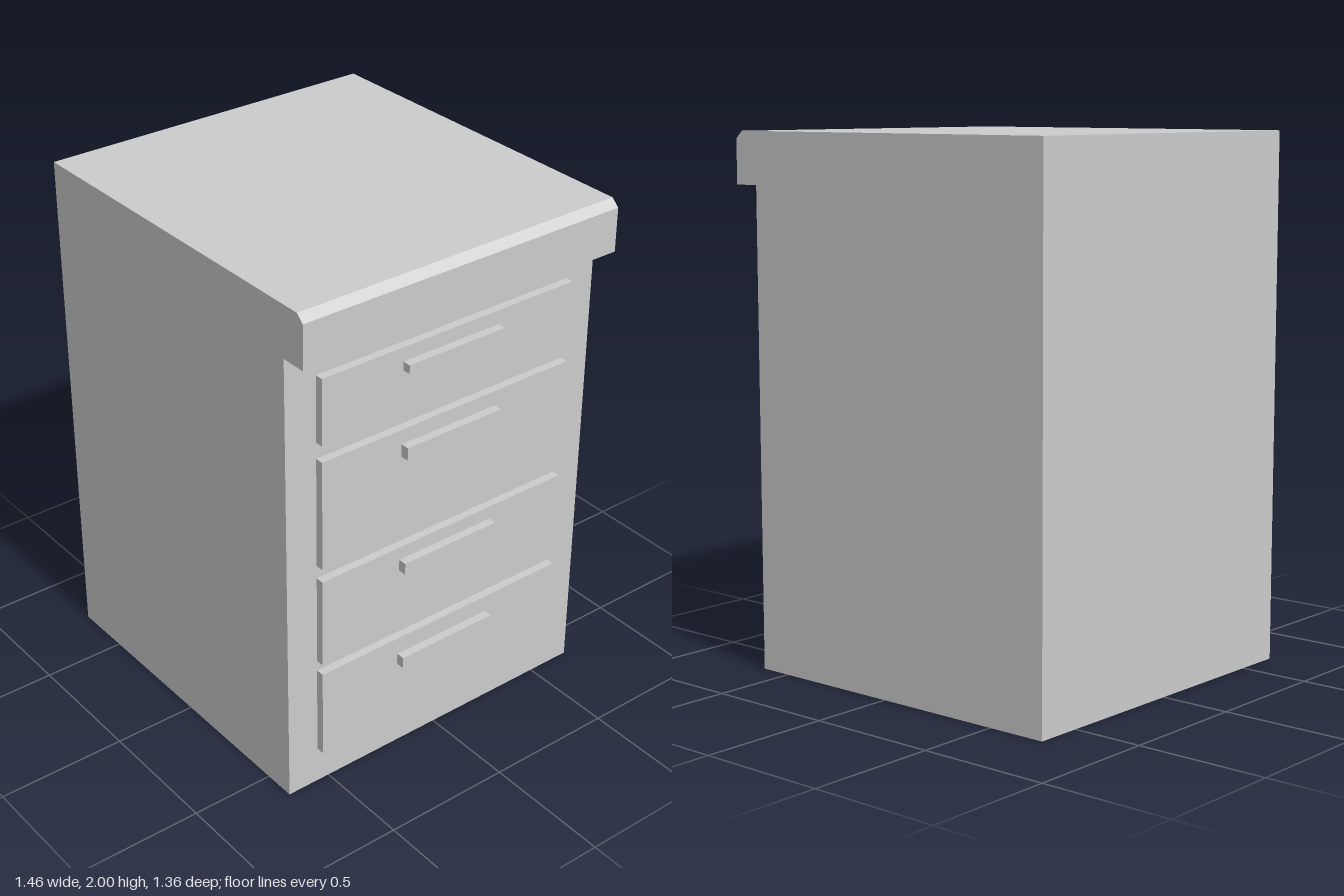
import * as THREE from 'three';

const material = new THREE.MeshStandardMaterial({ color: 0xcccccc, flatShading: true });

// Box given by its extents in x and y, centred on z
function addBox(parent, name, [x0, x1], [y0, y1], depth) {
  const mesh = new THREE.Mesh(new THREE.BoxGeometry(x1 - x0, y1 - y0, depth), material);
  mesh.position.set((x0 + x1) / 2, (y0 + y1) / 2, 0);
  mesh.name = name;
  parent.add(mesh);
}

export function createModel() {
  const group = new THREE.Group();
  group.name = 'drawerCabinet';

  // Cabinet and overhanging, chamfered worktop share one side profile
  const depth = 1.355;
  const profile = new THREE.Shape([
    [-0.73, 0], [0.625, 0], [0.625, 1.805], [0.727, 1.805],
    [0.727, 1.972], [0.697, 2], [-0.73, 2],
  ].map(([x, y]) => new THREE.Vector2(x, y)));
  const geometry = new THREE.ExtrudeGeometry(profile, { depth, bevelEnabled: false });
  geometry.translate(0, 0, -depth / 2);
  const cabinet = new THREE.Mesh(geometry, material);
  cabinet.name = 'cabinetWithWorktop';
  group.add(cabinet);

  // Drawer fronts and bar handles, bottom to top, facing +x
  const drawers = [
    { front: [0.148, 0.503], handle: [0.39, 0.435] },
    { front: [0.545, 0.9], handle: [0.803, 0.848] },
    { front: [0.952, 1.382], handle: [1.275, 1.324] },
    { front: [1.445, 1.7], handle: [1.613, 1.646] },
  ];
  drawers.forEach(({ front, handle }, i) => {
    const drawer = new THREE.Group();
    drawer.name = `drawer${i + 1}`;
    addBox(drawer, 'drawerFront', [0.62, 0.657], front, 1.1);
    addBox(drawer, 'drawerHandle', [0.655, 0.69], handle, 0.42);
    group.add(drawer);
  });

  return group;
}
